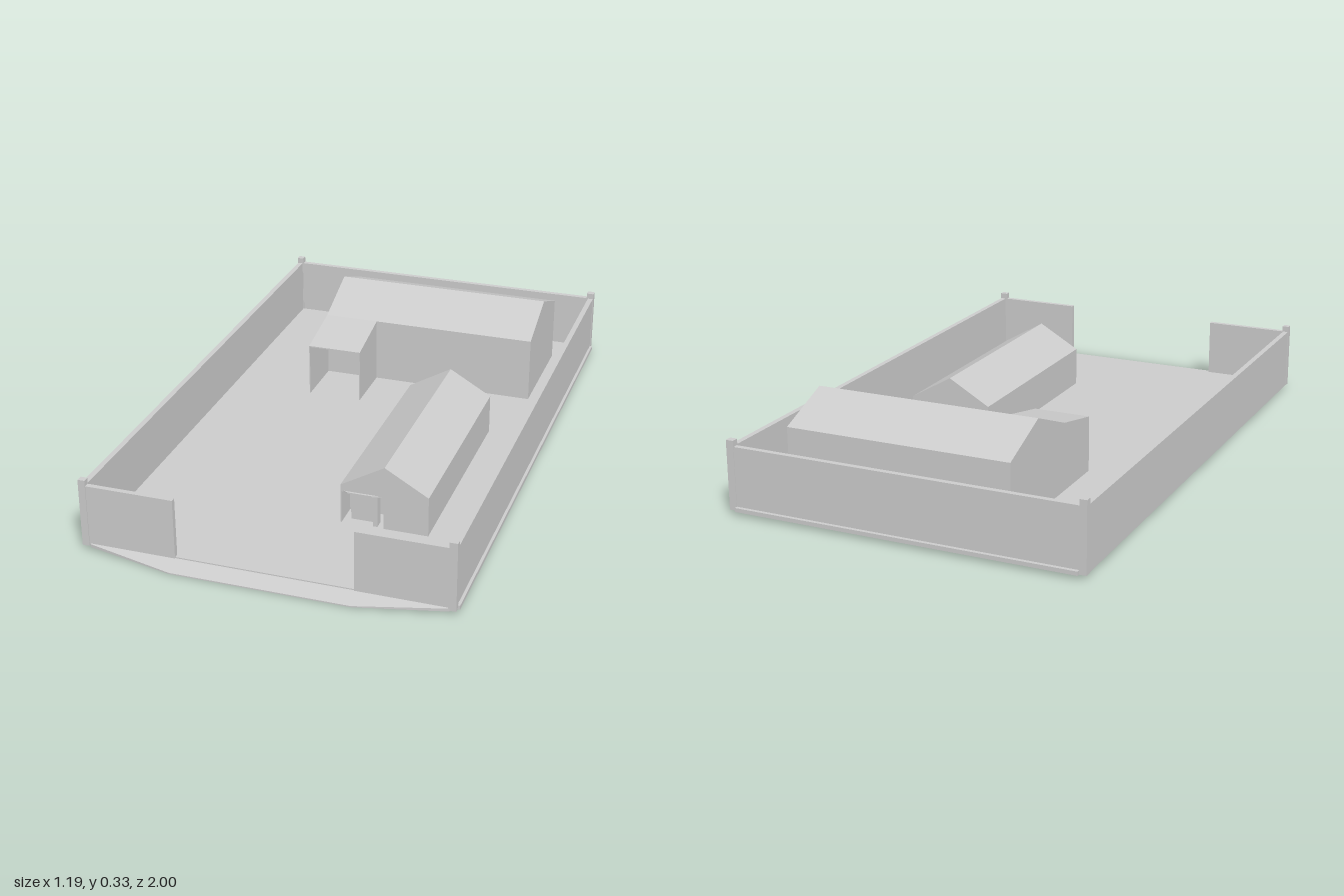
import * as THREE from 'three';
import { ConvexGeometry } from 'three/addons/geometries/ConvexGeometry.js';

const material = new THREE.MeshStandardMaterial({ color: 0xcccccc, flatShading: true, side: THREE.DoubleSide });
const FLOOR = 0.025;

export function createModel() {
  const model = new THREE.Group();

  function add(parent, name, geometry) {
    const mesh = new THREE.Mesh(geometry, material);
    mesh.name = name;
    parent.add(mesh);
    return mesh;
  }

  // Box given by its extents along each axis
  function block(parent, name, x0, x1, y0, y1, z0, z1) {
    const mesh = add(parent, name, new THREE.BoxGeometry(x1 - x0, y1 - y0, z1 - z0));
    mesh.position.set((x0 + x1) / 2, (y0 + y1) / 2, (z0 + z1) / 2);
    return mesh;
  }

  // Outline in x, y extruded from z0 to z1
  function prism(parent, name, points, z0, z1) {
    const shape = new THREE.Shape(points.map(([x, y]) => new THREE.Vector2(x, y)));
    const geometry = new THREE.ExtrudeGeometry(shape, { depth: z1 - z0, bevelEnabled: false });
    return add(parent, name, geometry.translate(0, 0, z0));
  }

  // Outline in z, y extruded from x0 to x1
  function sidePrism(parent, name, points, x0, x1) {
    const mesh = prism(parent, name, points.map(([z, y]) => [-z, y]), x0, x1);
    mesh.geometry.rotateY(Math.PI / 2);
    return mesh;
  }

  // Yard floor and sloping entrance apron
  block(model, 'yardFloor', -0.595, 0.588, 0.013, FLOOR, -0.988, 0.94);
  const apronPoints = [];
  for (const s of [-1, 1]) {
    for (const [x, y, z] of [
      [0.57, 0.013, 0.925], [0.57, 0.025, 0.925],
      [0.57, 0.01, 0.945], [0.57, 0.02, 0.945],
      [0.287, 0, 0.998], [0.287, 0.004, 0.998],
    ]) apronPoints.push(new THREE.Vector3(s * x, y, z));
  }
  add(model, 'entranceApron', new ConvexGeometry(apronPoints));

  // Perimeter walls, with an opening at the front
  const walls = new THREE.Group();
  walls.name = 'perimeterWalls';
  model.add(walls);
  block(walls, 'rightWall', -0.595, -0.577, 0.02, 0.22, -0.97, 0.93);
  block(walls, 'leftWall', 0.57, 0.588, 0.02, 0.22, -0.97, 0.93);
  block(walls, 'backWall', -0.577, 0.57, 0.02, 0.22, -0.986, -0.968);
  block(walls, 'frontWallRight', -0.58, -0.29, 0.02, 0.22, 0.925, 0.942);
  block(walls, 'frontWallLeft', 0.28, 0.572, 0.02, 0.22, 0.925, 0.942);

  // Corner posts and low plinth strips
  for (const [x0, x1] of [[-0.597, -0.574], [0.565, 0.59]]) {
    for (const [z0, z1] of [[-0.988, -0.965], [0.924, 0.945]]) {
      block(walls, 'cornerPost', x0, x1, 0.013, 0.24, z0, z1);
    }
  }
  block(walls, 'backPlinth', -0.574, 0.565, 0.013, 0.026, -0.998, -0.98);
  block(walls, 'leftPlinth', 0.58, 0.597, 0.013, 0.026, -0.965, 0.93);

  // Large gabled building across the back
  const barn = new THREE.Group();
  barn.name = 'backBuilding';
  model.add(barn);
  sidePrism(barn, 'barnBody', [
    [-0.835, FLOOR], [-0.445, FLOOR], [-0.445, 0.25], [-0.64, 0.326], [-0.835, 0.25],
  ], -0.29, 0.47);

  // Lean-to with an open front
  sidePrism(barn, 'leanToRoof', [
    [-0.445, 0.246], [-0.25, 0.206], [-0.25, 0.21], [-0.445, 0.25],
  ], -0.29, -0.1);
  for (const x of [-0.29, -0.103]) {
    sidePrism(barn, 'leanToWall', [
      [-0.445, FLOOR], [-0.25, FLOOR], [-0.25, 0.208], [-0.445, 0.248],
    ], x, x + 0.003);
  }

  // Long gabled building with a recessed porch
  const house = new THREE.Group();
  house.name = 'longBuilding';
  model.add(house);
  prism(house, 'houseBody', [
    [0.115, FLOOR], [0.4, FLOOR], [0.4, 0.158], [0.258, 0.24], [0.115, 0.158],
  ], -0.16, 0.5);
  prism(house, 'houseFront', [
    [0.115, FLOOR], [0.118, FLOOR], [0.118, 0.135], [0.255, 0.135], [0.255, FLOOR],
    [0.4, FLOOR], [0.4, 0.158], [0.258, 0.24], [0.115, 0.158],
  ], 0.5, 0.585);

  // Porch screen and shallow canopy
  block(house, 'porchScreen', 0.14, 0.22, FLOOR, 0.135, 0.55, 0.555);
  block(house, 'porchPost', 0.22, 0.234, FLOOR, 0.135, 0.55, 0.58);
  const canopy = prism(house, 'porchCanopy', [
    [0.115, -0.58], [0.14, -0.592], [0.22, -0.592], [0.255, -0.58],
  ], 0.133, 0.138);
  canopy.geometry.rotateX(-Math.PI / 2);

  return model;
}
